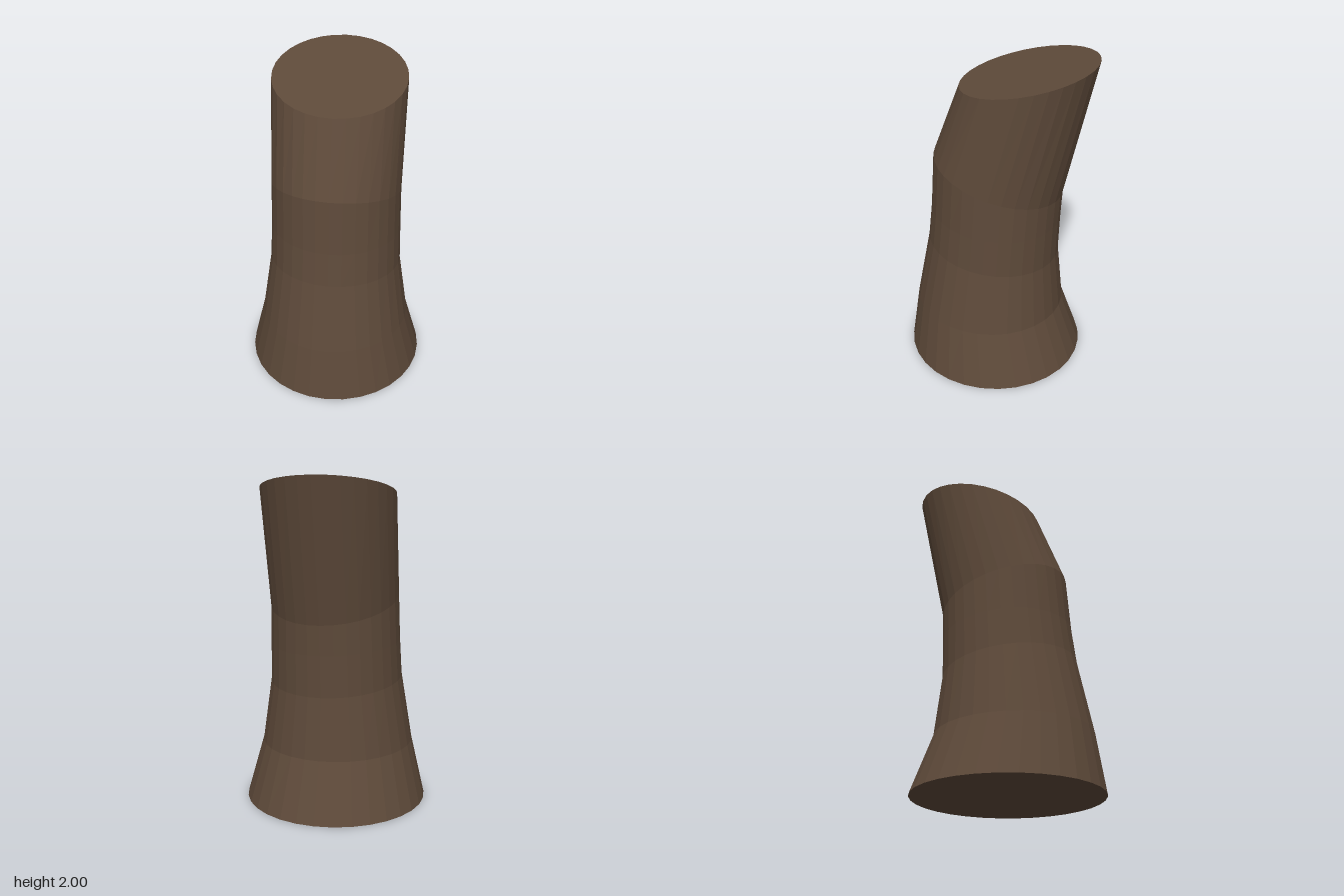
import * as THREE from 'three';

// Rings from base to cut: centre x, y, z, radius, rise per unit x, rise per unit z
const RINGS = [
  [0, 0, 0, 0.57, 0, 0],
  [-0.022, 0.36, 0.03, 0.478, -0.01, 0.015],
  [-0.007, 0.775, 0.01, 0.413, -0.08, 0.09],
  [0.003, 1.01, -0.002, 0.403, -0.06, 0.06],
  [0.012, 1.275, -0.015, 0.395, -0.19, 0.23],
  [0.107, 1.915, -0.157, 0.4, 0.11, -0.18],
];

export function createModel() {
  const group = new THREE.Group();
  group.name = 'stump';

  const bark = new THREE.MeshStandardMaterial({ color: 0x5e4a3a, flatShading: true });
  bark.name = 'brown bark';

  // Closed unit cylinder, one height segment per ring gap, bent onto the tilted rings
  const steps = RINGS.length - 1;
  const geometry = new THREE.CylinderGeometry(1, 1, steps, 32, steps);
  const position = geometry.attributes.position;
  for (let i = 0; i < position.count; i++) {
    const [cx, cy, cz, r, slopeX, slopeZ] = RINGS[Math.round(position.getY(i) + steps / 2)];
    const dx = position.getX(i) * r;
    const dz = position.getZ(i) * r;
    position.setXYZ(i, cx + dx, cy + slopeX * dx + slopeZ * dz, cz + dz);
  }
  geometry.computeVertexNormals();

  const trunk = new THREE.Mesh(geometry, bark);
  trunk.name = 'trunk';
  group.add(trunk);
  return group;
}
